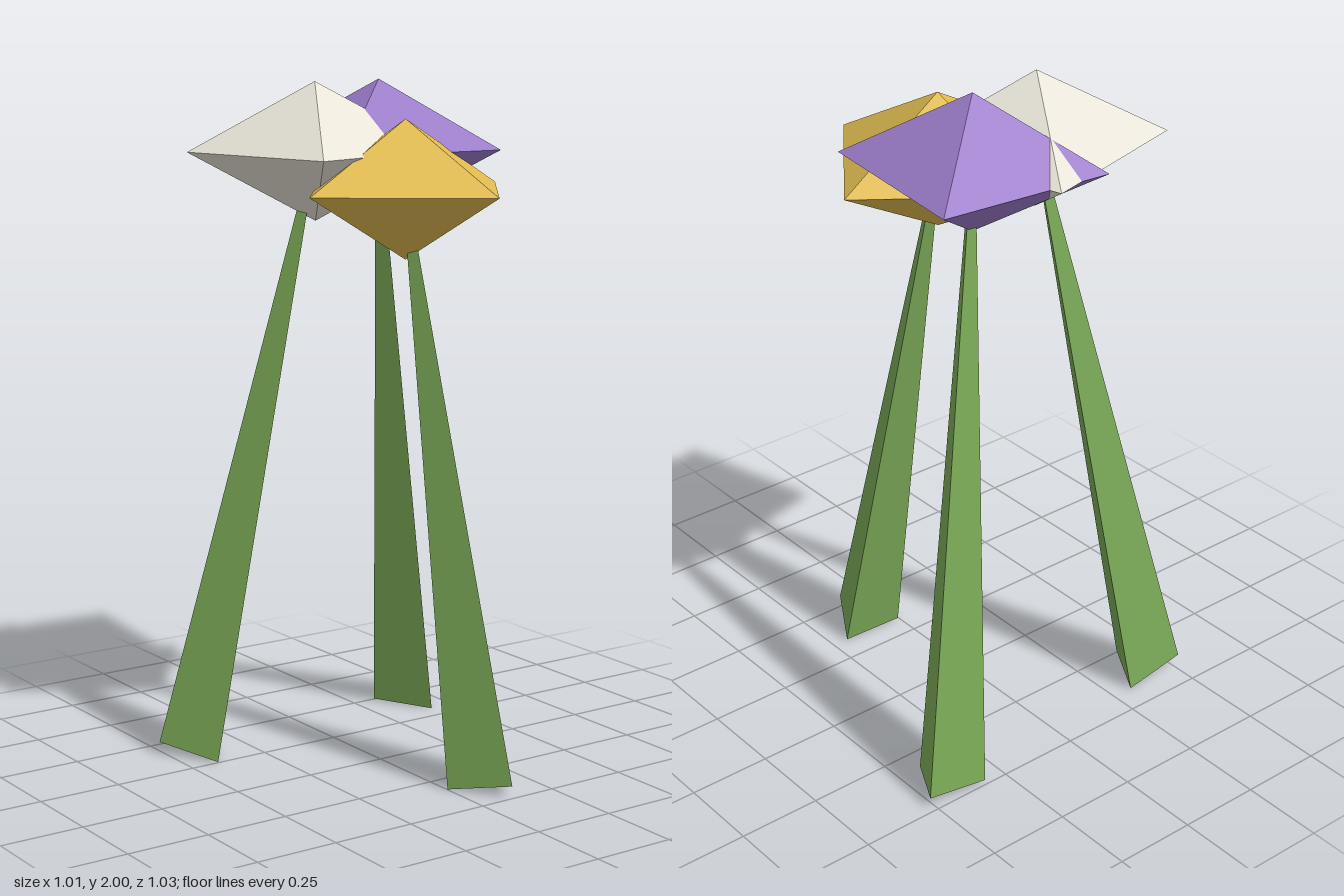
import * as THREE from 'three';

// Each bloom: centre, turn in degrees, colour, and the x/z position of its stem foot
const BLOOMS = [
  { name: 'white', centre: [-0.185, 1.8, 0.1], turn: 60, color: 0xe8e4d8, foot: [-0.362, 0.415] },
  { name: 'yellow', centre: [0.0525, 1.7, -0.05], turn: 8.6, color: 0xe0bb4f, foot: [0.388, -0.103] },
  { name: 'purple', centre: [-0.203, 1.8, -0.136], turn: 39.3, color: 0x9b7bc8, foot: [-0.43, -0.419] },
];
const FOOT_Y = 0.017;

const flat = (color) => new THREE.MeshStandardMaterial({ color, flatShading: true });

// Flattened octahedron flower head
function makeHead({ centre, turn, color }) {
  const geometry = new THREE.OctahedronGeometry(1, 0);
  geometry.scale(0.368, 0.2, 0.368);
  geometry.rotateY(THREE.MathUtils.degToRad(turn));
  const head = new THREE.Mesh(geometry, flat(color));
  head.position.set(...centre);
  return head;
}

// Three-sided stem tapering from a wide foot to the centre of the head
function makeStem({ centre, foot }, material) {
  const top = new THREE.Vector3(...centre);
  const base = new THREE.Vector3(foot[0], FOOT_Y, foot[1]);
  const axis = top.clone().sub(base);
  const geometry = new THREE.CylinderGeometry(0.009, 0.117, axis.length(), 3, 1, false, Math.PI / 2);
  const stem = new THREE.Mesh(geometry, material);
  stem.position.copy(base).add(top).multiplyScalar(0.5);
  stem.quaternion.setFromUnitVectors(new THREE.Vector3(0, 1, 0), axis.normalize());
  return stem;
}

export function createModel() {
  const model = new THREE.Group();
  model.name = 'flowers';
  const green = flat(0x7aa856);
  for (const bloom of BLOOMS) {
    const flower = new THREE.Group();
    flower.name = bloom.name + 'Flower';
    const head = makeHead(bloom);
    head.name = bloom.name + 'Head';
    const stem = makeStem(bloom, green);
    stem.name = bloom.name + 'Stem';
    flower.add(head, stem);
    model.add(flower);
  }
  return model;
}
